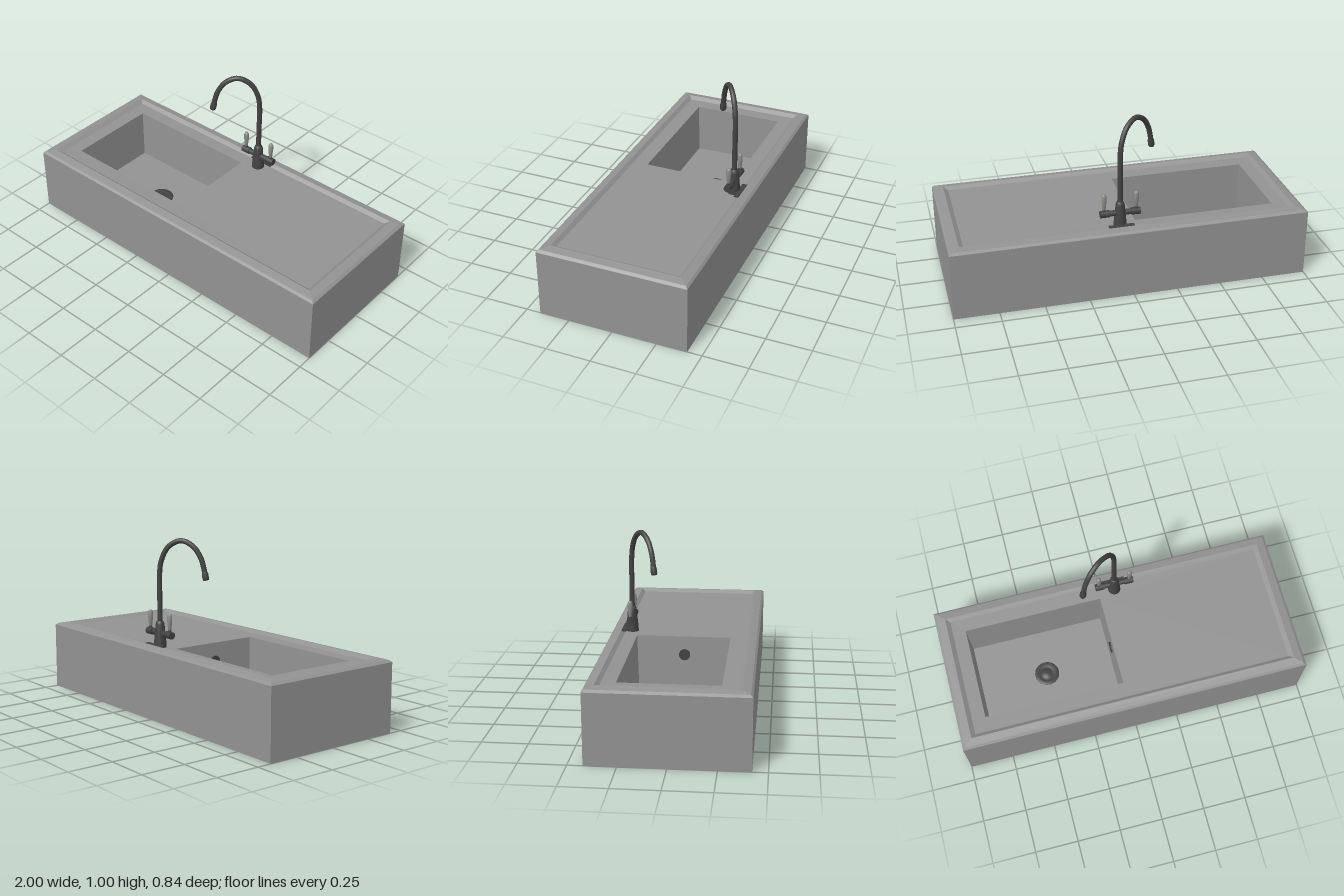
import * as THREE from 'three';

const mat = (name, color) => {
  const m = new THREE.MeshStandardMaterial({ color });
  m.name = name;
  return m;
};

export function createModel() {
  const model = new THREE.Group();
  const stone = mat('sink grey', 0x929292);
  const metal = mat('dark metal', 0x424242);
  const grip = mat('handle grey', 0x8c8c88);
  const add = (name, geometry, material, parent = model) => {
    const mesh = new THREE.Mesh(geometry, material);
    mesh.name = name;
    parent.add(mesh);
    return mesh;
  };
  const lathe = (points, sides = 24) =>
    new THREE.LatheGeometry(points.map(([r, y]) => new THREE.Vector2(r, y)), sides);

  // Sink: rectangular rings from the underside, over the rim, down into the bowl
  const rings = [ // x0, x1, z0, z1, y
    [0, 0, 0, 0, 0],
    [-1, 1, -0.42, 0.42, 0],
    [-1, 1, -0.42, 0.42, 0.385],
    [-0.985, 0.985, -0.408, 0.408, 0.396],
    [-0.94, 0.94, -0.365, 0.365, 0.405],
    [-0.915, 0.915, -0.345, 0.345, 0.388],
    [-0.84, -0.04, -0.27, 0.26, 0.386],
    [-0.832, -0.048, -0.262, 0.252, 0.09],
    [-0.44, -0.44, 0, 0, 0.088],
  ];
  const corners = ([x0, x1, z0, z1, y]) => [[x0, y, z1], [x1, y, z1], [x1, y, z0], [x0, y, z0]];
  const positions = [];
  for (let r = 0; r < rings.length - 1; r++) {
    const a = corners(rings[r]), b = corners(rings[r + 1]);
    for (let i = 0; i < 4; i++) {
      const j = (i + 1) % 4;
      if (r > 0) positions.push(...a[i], ...a[j], ...b[j]);
      else positions.push(...a[i], ...b[i], ...b[j]);
      if (r > 0 && r < rings.length - 2) positions.push(...a[i], ...b[j], ...b[i]);
    }
  }
  // underside triangles run centre -> outer corners, so flip them to face down
  for (let t = 0; t < 4; t++) {
    const k = t * 9;
    const p = positions.slice(k, k + 9);
    const [u, v, w] = [p.slice(0, 3), p.slice(3, 6), p.slice(6, 9)].map((q) => new THREE.Vector3(...q));
    if (v.clone().sub(u).cross(w.clone().sub(u)).y > 0) {
      positions.splice(k + 3, 6, ...w.toArray(), ...v.toArray());
    }
  }
  const sink = new THREE.BufferGeometry();
  sink.setAttribute('position', new THREE.Float32BufferAttribute(positions, 3));
  sink.computeVertexNormals();
  add('sink', sink, stone);

  // Drain and overflow
  const drain = add('drain', lathe([[0.072, 0], [0.07, 0.006], [0.05, 0.008], [0.044, 0.003],
    [0.028, 0.003], [0.024, 0.01], [0, 0.012]]), metal);
  drain.position.set(-0.44, 0.088, 0);
  const overflow = add('overflow', new THREE.CylinderGeometry(0.032, 0.032, 0.008, 20), metal);
  overflow.rotation.z = Math.PI / 2;
  overflow.position.set(-0.047, 0.28, 0);

  // Tap
  const tap = new THREE.Group();
  tap.name = 'tap';
  tap.position.set(0.055, 0, -0.31);
  model.add(tap);
  add('tapBase', lathe([[0.036, 0.386], [0.035, 0.41], [0.029, 0.47], [0.025, 0.515],
    [0.021, 0.53], [0.014, 0.535]]), metal, tap);
  const plate = add('tapPlate', new THREE.BoxGeometry(0.14, 0.008, 0.03), metal, tap);
  plate.position.set(0, 0.402, -0.04);

  // Swan-neck spout, swung diagonally over the bowl
  const dx = -0.815, dz = 0.58;
  const path = [[0, 0.5], [0, 0.65], [0, 0.8], [0.012, 0.875], [0.053, 0.948], [0.125, 0.982],
    [0.193, 0.952], [0.236, 0.89], [0.254, 0.83], [0.266, 0.77]]
    .map(([s, y]) => new THREE.Vector3(s * dx, y, s * dz));
  add('spout', new THREE.TubeGeometry(new THREE.CatmullRomCurve3(path), 64, 0.0145, 14), metal, tap);
  const tip = path[path.length - 1];
  const along = path[path.length - 2].clone().sub(tip).normalize();
  const nozzle = add('nozzle', lathe([[0, 0], [0.016, 0], [0.018, 0.005], [0.018, 0.03], [0.0145, 0.045]], 16),
    metal, tap);
  nozzle.position.copy(tip).addScaledVector(along, 0.004);
  nozzle.quaternion.setFromUnitVectors(new THREE.Vector3(0, 1, 0), along);

  // Cross bar with a lever at each end
  const bar = add('crossBar', new THREE.CylinderGeometry(0.016, 0.016, 0.2, 16), metal, tap);
  bar.rotation.z = Math.PI / 2;
  bar.position.y = 0.466;
  for (const side of [-1, 1]) {
    const cap = add('valve', new THREE.CylinderGeometry(0.02, 0.02, 0.05, 16), metal, tap);
    cap.rotation.z = Math.PI / 2;
    cap.position.set(side * 0.087, 0.466, 0);
    const stem = add('leverStem', new THREE.CylinderGeometry(0.008, 0.01, 0.035, 12), metal, tap);
    stem.position.set(side * 0.09, 0.485, 0);
    add('lever', lathe([[0, 0.492], [0.009, 0.494], [0.014, 0.545], [0.014, 0.573],
      [0.009, 0.584], [0, 0.586]], 16), grip, tap).position.x = side * 0.09;
  }
  return model;
}
